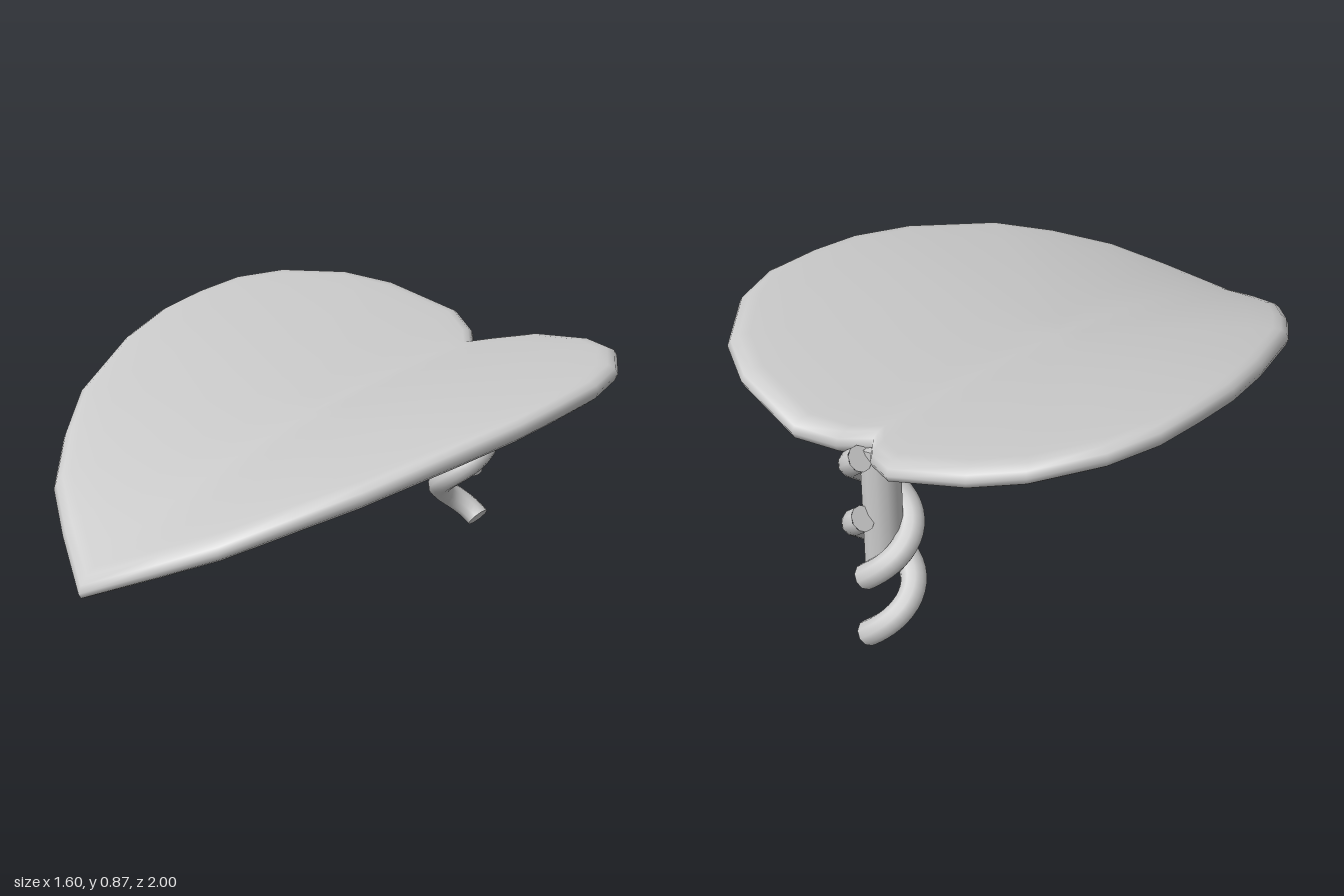
import * as THREE from 'three';
import { mergeVertices } from 'three/addons/utils/BufferGeometryUtils.js';

const material = new THREE.MeshStandardMaterial({ color: 0xcccccc });
const STEM_Z = -0.825;

// Half outline of the heart-shaped blade, [x, z] from the notch to the tip
const HALF = [
  [0, -0.86], [0.07, -0.94], [0.19, -1], [0.45, -0.95], [0.6, -0.86], [0.74, -0.67],
  [0.795, -0.49], [0.8, -0.3], [0.79, -0.12], [0.74, 0.1], [0.62, 0.42], [0.5, 0.6],
  [0.36, 0.77], [0.2, 0.88], [0, 1],
];

// Middle height of the blade: droops to the tip, softly folded up along the spine
function bladeHeight(x, z) {
  const u = z + 0.75, a = Math.hypot(x, 0.03) - 0.03;
  const spine = 0.693 - 0.066 * u ** 2 - 0.0085 * u ** 4;
  return spine + 0.27 * a - 0.085 * a * a;
}

function bladeGeometry() {
  const outline = [...HALF, ...HALF.slice(1, -1).reverse().map(([x, z]) => [-x, z])];
  // Rings as [outline scale, offset from the middle surface], top centre to rounded rim
  const top = [0, 0.12, 0.25, 0.4, 0.55, 0.7, 0.83, 0.93].map((s) => [s, 0.04]);
  top.push([0.965, 0.036], [0.99, 0.021]);
  const rings = [...top, [1, 0], ...top.map(([s, h]) => [s, -h]).reverse()];
  const n = outline.length, position = [], index = [];
  for (const [s, h] of rings) {
    for (const [x, z] of outline) position.push(x * s, bladeHeight(x * s, z * s) + h, z * s);
  }
  for (let j = 0; j < rings.length - 1; j++) {
    for (let i = 0; i < n; i++) {
      const k = (i + 1) % n;
      const a = j * n + i, b = j * n + k, c = a + n, d = b + n;
      index.push(a, d, c, a, b, d);
    }
  }
  const g = new THREE.BufferGeometry();
  g.setAttribute('position', new THREE.Float32BufferAttribute(position, 3));
  g.setIndex(index);
  const merged = mergeVertices(g);
  merged.computeVertexNormals();
  return merged;
}

// One full turn of a helix around the stem, starting and ending at the back
class Twist extends THREE.Curve {
  constructor(y0) {
    super();
    this.y0 = y0;
  }
  getPoint(t, target = new THREE.Vector3()) {
    const a = t * Math.PI * 2, r = 0.086;
    return target.set(-r * Math.sin(a), this.y0 + 0.425 * t, STEM_Z - r * Math.cos(a));
  }
}

function tendril(name, y0) {
  const group = new THREE.Group();
  group.name = name;
  const curve = new Twist(y0), r = 0.042;
  const tube = new THREE.Mesh(new THREE.TubeGeometry(curve, 32, r, 10), material);
  tube.name = name + 'Tube';
  group.add(tube);
  // Flat end caps
  for (const t of [0, 1]) {
    const cap = new THREE.Mesh(new THREE.CircleGeometry(r, 10), material);
    cap.name = name + 'Cap';
    const p = curve.getPoint(t);
    cap.position.copy(p);
    cap.lookAt(p.clone().addScaledVector(curve.getTangent(t), t ? 1 : -1));
    group.add(cap);
  }
  return group;
}

export function createModel() {
  const model = new THREE.Group();
  model.name = 'leaf';

  const blade = new THREE.Mesh(bladeGeometry(), material);
  blade.name = 'leafBlade';

  // Straight stem under the notch
  const stem = new THREE.Mesh(new THREE.CylinderGeometry(0.063, 0.063, 0.44, 12), material);
  stem.name = 'stem';
  stem.position.set(0, 0.465, STEM_Z);

  model.add(blade, stem, tendril('lowerTendril', 0.034), tendril('upperTendril', 0.247));
  return model;
}
